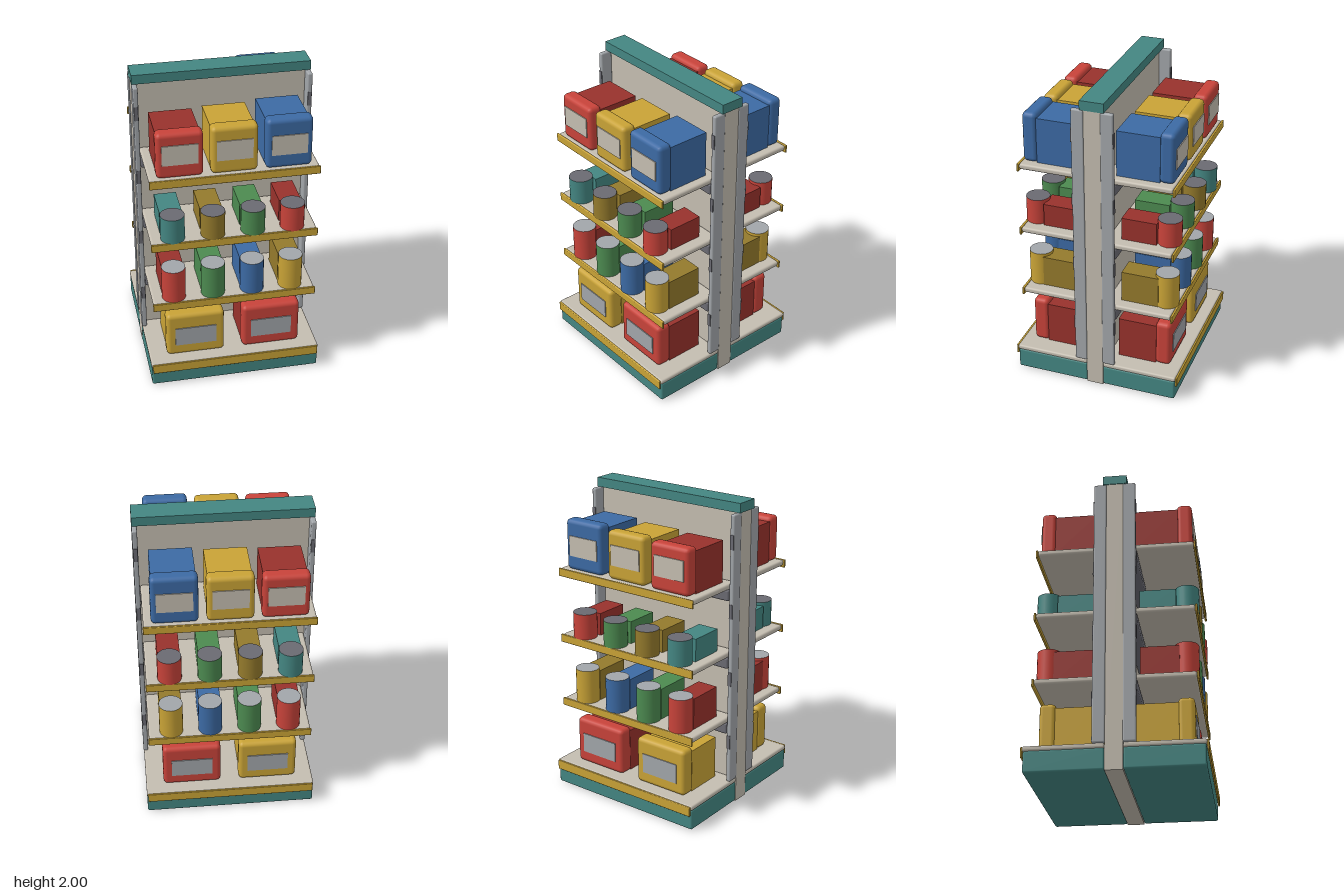
import * as THREE from 'three';
import { RoundedBoxGeometry } from 'three/addons/geometries/RoundedBoxGeometry.js';

const mat = (name, color) => {
  const m = new THREE.MeshStandardMaterial({ color });
  m.name = name;
  return m;
};

export function createModel() {
  const M = {
    red: mat('red', 0xc8433a), darkRed: mat('dark red', 0x98322c),
    yellow: mat('yellow', 0xc9a336), olive: mat('olive', 0x947a2c),
    blue: mat('blue', 0x3c6aa4), green: mat('green', 0x4c8a50),
    teal: mat('teal', 0x448682), beige: mat('beige', 0xc4bdb0),
    grey: mat('grey', 0xa2a6aa), darkGrey: mat('dark grey', 0x6a6a72),
  };
  const model = new THREE.Group();
  model.name = 'storeShelf';

  // Box given by its extents; r > 0 rounds the edges
  const box = (parent, name, m, [x0, x1], [y0, y1], [z0, z1], r = 0) => {
    const size = [x1 - x0, y1 - y0, z1 - z0];
    const geo = r ? new RoundedBoxGeometry(...size, 2, r) : new THREE.BoxGeometry(...size);
    const mesh = new THREE.Mesh(geo, m);
    mesh.position.set((x0 + x1) / 2, (y0 + y1) / 2, (z0 + z1) / 2);
    mesh.name = name;
    parent.add(mesh);
    return mesh;
  };

  // Carton: rounded front block, plain body behind it, label plate
  const carton = (parent, m, bodyM, labelM, x, w, y, h, zBack, zFront, label) => {
    const g = new THREE.Group();
    g.name = 'carton';
    parent.add(g);
    const hw = w / 2;
    box(g, 'cartonFront', m, [x - hw, x + hw], [y, y + h], [zBack, zFront], 0.028);
    box(g, 'cartonBody', bodyM, [x - hw + 0.01, x + hw - 0.01], [y, y + h - 0.03], [0.12, zBack + 0.005]);
    box(g, 'cartonLabel', labelM, [x - label.w / 2, x + label.w / 2], label.y, [zFront - 0.002, zFront + 0.006]);
  };

  // Can with a lid, and the stock block behind it
  const can = (parent, m, bodyM, lidM, x, y, h, z, zBody) => {
    const g = new THREE.Group();
    g.name = 'can';
    parent.add(g);
    const c = new THREE.Mesh(new THREE.CylinderGeometry(0.076, 0.076, h, 24), [m, lidM, m]);
    c.position.set(x, y + h / 2, z);
    c.name = 'canBody';
    g.add(c);
    box(g, 'canStock', bodyM, [x - 0.07, x + 0.07], [y, y + h - 0.02], [0.145, zBody]);
  };

  // Central wall and header
  box(model, 'centralPanel', M.beige, [-0.55, 0.55], [0, 1.94], [-0.055, 0.055]);
  box(model, 'header', M.teal, [-0.555, 0.555], [1.94, 2], [-0.076, 0.076]);

  // One stocked side, facing +z or -z; s mirrors the x layout for the turned side
  const side = (s) => {
    const g = new THREE.Group();
    g.name = s > 0 ? 'frontSide' : 'backSide';

    // Base plinth, deck and lip
    box(g, 'plinth', M.teal, [-0.55, 0.55], [0.004, 0.14], [0.055, 0.54], 0.012);
    box(g, 'baseDeck', M.beige, [-0.552, 0.552], [0.138, 0.17], [0.055, 0.545], 0.012);
    box(g, 'baseLip', M.yellow, [-0.545, 0.545], [0.102, 0.167], [0.543, 0.556], 0.005);

    // Posts with dark slots
    for (const k of [-1, 1]) {
      const x = k * 0.539;
      box(g, 'post', M.grey, [x - 0.016, x + 0.016], [0.17, 1.94], [0.052, 0.133], 0.01);
      for (const y of [0.45, 0.885, 1.33, 1.77])
        box(g, 'postSlot', M.darkGrey, [x - 0.012, x + 0.012], [y - 0.046, y + 0.046], [0.13, 0.136]);
    }

    // Three shelves with rear rail and price lip
    for (const y of [0.612, 1.058, 1.503]) {
      box(g, 'shelf', M.beige, [-0.52, 0.52], [y - 0.037, y], [0.056, 0.495], 0.014);
      box(g, 'shelfLip', M.yellow, [-0.524, 0.524], [y - 0.053, y], [0.494, 0.508], 0.005);
      box(g, 'shelfRail', M.darkGrey, [-0.522, 0.522], [y - 0.11, y - 0.037], [0.056, 0.137], 0.012);
    }

    // Bottom cartons
    [[-0.25, M.yellow, M.yellow], [0.247, M.red, M.darkRed]].forEach(([x, m, b]) =>
      carton(g, m, b, M.grey, x, 0.378, 0.17, 0.311, 0.37, 0.472, { w: 0.266, y: [0.25, 0.38] }));

    // Top cartons, rising in height
    [[-0.333, M.red, M.darkRed, 0.297], [-0.002, M.yellow, M.yellow, 0.308], [0.331, M.blue, M.blue, 0.325]]
      .forEach(([x, m, b, h]) =>
        carton(g, m, b, M.beige, x, 0.286, 1.503, h, 0.39, 0.485, { w: 0.22, y: [1.595, 1.725] }));

    // Cans on the two middle shelves
    const xs = [-0.381, -0.129, 0.123, 0.373];
    [[M.red, M.darkRed], [M.green, M.green], [M.blue, M.blue], [M.yellow, M.olive]].forEach(([m, b], i) =>
      can(g, m, b, M.grey, xs[i], 0.612, 0.225, 0.428, 0.388));
    [[M.teal, M.teal], [M.olive, M.olive], [M.green, M.green], [M.red, M.darkRed]].forEach(([m, b], i) =>
      can(g, m, b, M.darkGrey, xs[i], 1.058, 0.167, 0.437, 0.372));

    // Every part is symmetric in itself, so the back is laid out by flipping z positions
    if (s < 0) g.traverse((o) => { if (o.isMesh) o.position.z *= -1; });
    model.add(g);
  };
  side(1);
  side(-1);
  return model;
}
